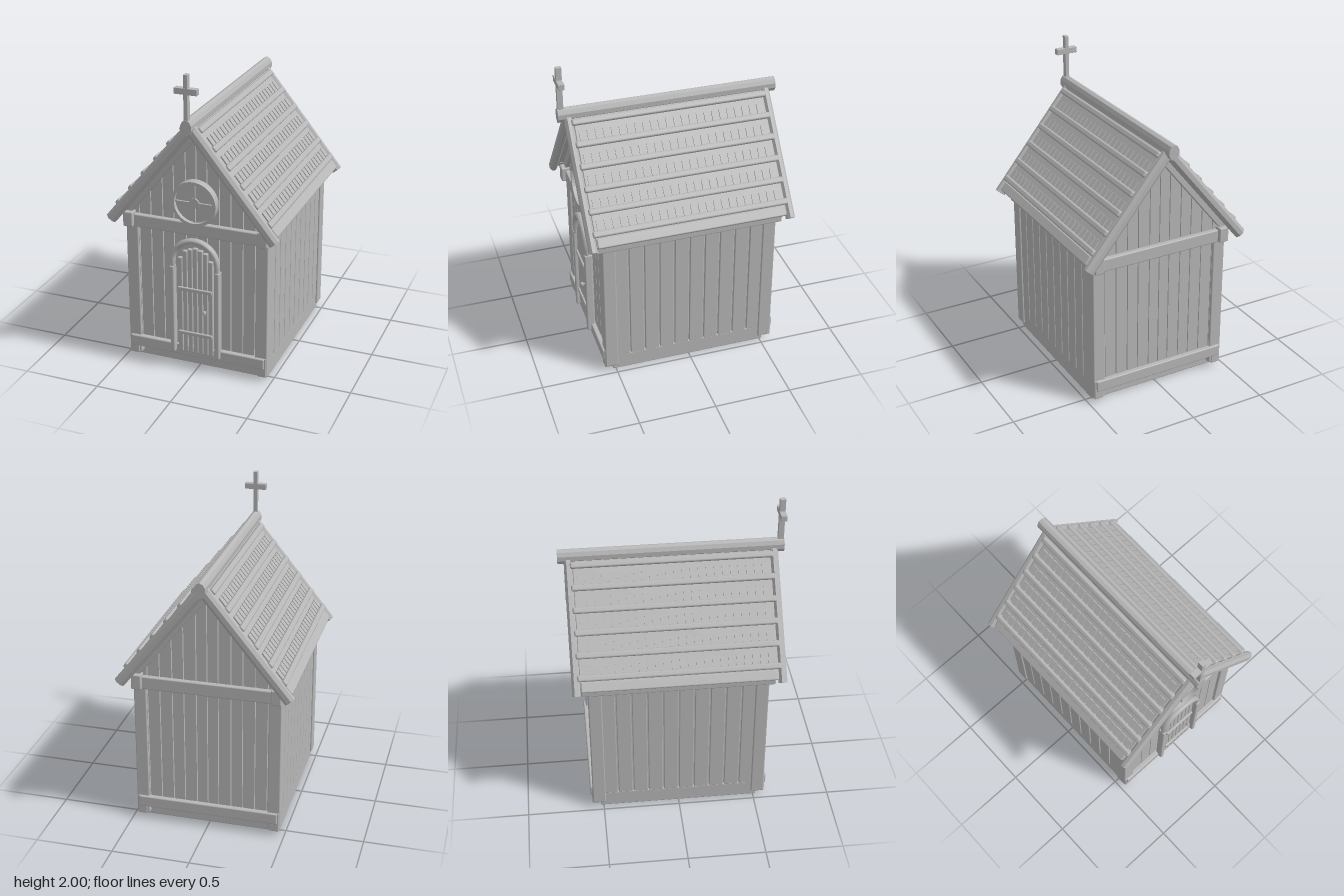
import * as THREE from 'three';
import { RoundedBoxGeometry } from 'three/addons/geometries/RoundedBoxGeometry.js';

const grey = new THREE.MeshStandardMaterial({ color: 0xb6b6b6 });
grey.name = 'plainGrey';

function add(parent, name, geometry, x = 0, y = 0, z = 0) {
  const mesh = new THREE.Mesh(geometry, grey);
  mesh.name = name;
  mesh.position.set(x, y, z);
  parent.add(mesh);
  return mesh;
}

// Beam with softened edges, given by its extents
function beam(parent, name, x0, x1, y0, y1, z0, z1, r = 0.008) {
  const w = x1 - x0, h = y1 - y0, d = z1 - z0;
  const radius = Math.min(r, w * 0.4, h * 0.4, d * 0.4);
  return add(parent, name, new RoundedBoxGeometry(w, h, d, 2, radius), (x0 + x1) / 2, (y0 + y1) / 2, (z0 + z1) / 2);
}

function extrude(points, depth) {
  const shape = new THREE.Shape(points.map(([x, y]) => new THREE.Vector2(x, y)));
  return new THREE.ExtrudeGeometry(shape, { depth, bevelEnabled: false });
}

const ANGLE = Math.atan2(0.66, 0.535);   // roof pitch
const gableY = (x) => 1.625 - 1.234 * Math.abs(x);

function buildWalls(group) {
  beam(group, 'foundation', -0.46, 0.46, 0, 0.11, -0.52, 0.52);

  // Solid core seen in the gaps between planks
  add(group, 'wallCore', extrude([[-0.445, 0.05], [0.445, 0.05], [0.445, gableY(0.445)], [0, gableY(0)], [-0.445, gableY(0.445)]], 1.07), 0, 0, -0.535);

  // Gable wall planks, cut to the roof slope
  const edges = [0, 0.07, 0.15, 0.225, 0.305, 0.385, 0.455];
  for (const face of [1, -1]) for (const s of [1, -1]) {
    for (let i = 0; i < edges.length - 1; i++) {
      const a = edges[i] + 0.003, b = edges[i + 1] - 0.003;
      const pts = [[a, 0.08], [b, 0.08], [b, gableY(b)], [a, gableY(a)]].map(([x, y]) => [s * x, y]);
      add(group, 'gablePlank', extrude(pts, 0.02), 0, 0, face > 0 ? 0.535 : -0.555);
    }
  }

  // Side wall planks
  for (const s of [1, -1]) for (let i = 0; i < 10; i++) {
    const z = -0.45 + i * 0.1;
    const x0 = s > 0 ? 0.435 : -0.461;
    beam(group, 'sidePlank', x0, x0 + 0.026, 0.105, 0.96, z - 0.046, z + 0.046, 0.005);
  }

  for (const s of [1, -1]) {
    const x0 = s > 0 ? 0.41 : -0.475;
    beam(group, 'wallPlate', x0, x0 + 0.065, 0.94, 1.04, -0.61, 0.61);
    for (const f of [1, -1]) {
      const px = s > 0 ? 0.39 : -0.472, pz = f > 0 ? 0.485 : -0.57;
      beam(group, 'cornerPost', px, px + 0.082, 0.035, 0.96, pz, pz + 0.085);
      const bz = f > 0 ? 0.52 : -0.575;
      beam(group, 'sillEnd', s > 0 ? 0.405 : -0.468, s > 0 ? 0.468 : -0.405, 0.03, 0.165, bz, bz + 0.055);
    }
  }
  for (const f of [1, -1]) {
    const z0 = f > 0 ? 0.54 : -0.585;
    beam(group, 'lowerCrossBeam', -0.455, 0.455, 0.088, 0.163, z0, z0 + 0.045);
    beam(group, 'upperCrossBeam', -0.415, 0.415, 0.937, 1.022, z0, z0 + 0.045);
  }
}

// One roof slope; local x runs down the slope, local y points outward
function buildSlope(group, side) {
  const turn = new THREE.Group();
  turn.rotation.y = side > 0 ? 0 : Math.PI;
  const slope = new THREE.Group();
  slope.name = side > 0 ? 'leftRoof' : 'rightRoof';
  slope.position.y = 1.717;
  slope.rotation.z = -ANGLE;
  turn.add(slope);
  group.add(turn);

  beam(slope, 'roofPanel', 0.03, 0.87, -0.05, -0.012, -0.615, 0.615, 0.006);
  beam(slope, 'eaveBoard', 0.81, 0.875, -0.055, -0.004, -0.61, 0.61);

  // Battens with a band of little shingles above each
  for (let i = 0; i < 6; i++) {
    const u = 0.092 + i * 0.139;
    beam(slope, 'batten', u - 0.02, u + 0.02, -0.032, 0.014, -0.63, 0.63, 0.012);
    if (i === 0) continue;
    for (let k = 0; k < 24; k++) {
      add(slope, 'shingle', new THREE.BoxGeometry(0.062, 0.014, 0.04), u - 0.05, -0.01, -0.575 + k * 0.05);
    }
  }

  // Edge poles and the rafters behind them
  for (const f of [1, -1]) {
    const pole = new THREE.CylinderGeometry(0.0375, 0.0375, 0.875, 8).toNonIndexed();
    pole.rotateY(Math.PI / 8);
    pole.computeVertexNormals();
    pole.rotateZ(Math.PI / 2);
    pole.scale(1, 1, 0.75);
    add(slope, 'edgePole', pole, 0.4575, -0.036, f * 0.64);
    const z0 = f > 0 ? 0.54 : -0.58;
    beam(slope, 'rafter', 0.07, 0.82, -0.1, -0.045, z0, z0 + 0.04, 0.005);
  }
}

function buildRidge(group) {
  const ridge = new THREE.CylinderGeometry(0.05, 0.05, 1.41, 10).toNonIndexed();
  ridge.computeVertexNormals();
  ridge.rotateX(Math.PI / 2);
  ridge.scale(0.72, 0.98, 1);
  add(group, 'ridgePole', ridge, 0, 1.677, 0);
  beam(group, 'crossUpright', -0.013, 0.013, 1.7, 2, 0.665, 0.702, 0.002);
  beam(group, 'crossArm', -0.072, 0.072, 1.88, 1.918, 0.665, 0.703, 0.002);
}

function buildDoor(group) {
  const door = new THREE.Group();
  door.name = 'door';
  group.add(door);

  // Arched backing board
  const back = new THREE.Shape();
  back.moveTo(-0.145, 0.115);
  back.lineTo(0.145, 0.115);
  back.lineTo(0.145, 0.755);
  back.absarc(0, 0.755, 0.145, 0, Math.PI, false);
  add(door, 'doorBacking', new THREE.ExtrudeGeometry(back, { depth: 0.025, bevelEnabled: false, curveSegments: 16 }), 0, 0, 0.545);

  const tops = [0.855, 0.845, 0.83, 0.78];
  for (let i = -3; i <= 3; i++) {
    const x = i * 0.034;
    beam(door, 'doorPlank', x - 0.0155, x + 0.0155, 0.12, tops[Math.abs(i)], 0.56, 0.592, 0.005);
  }
  for (const y of [0.26, 0.57]) beam(door, 'doorStrap', -0.115, 0.115, y - 0.012, y + 0.012, 0.58, 0.604, 0.005);

  // Frame: two jambs and a rounded arch
  for (const s of [-1, 1]) beam(door, 'doorJamb', s * 0.151 - 0.016, s * 0.151 + 0.016, 0.113, 0.72, 0.56, 0.612, 0.009);
  const arch = new THREE.TorusGeometry(0.148, 0.018, 8, 24, Math.PI);
  arch.scale(1, 1, 1.3);
  add(door, 'doorArch', arch, 0, 0.757, 0.588);
  for (const s of [-1, 1]) add(door, 'archFoot', new THREE.CylinderGeometry(0.018, 0.018, 0.06, 8), s * 0.148, 0.73, 0.59);

  const knob = new THREE.SphereGeometry(0.012, 10, 8);
  knob.scale(1, 1.5, 1);
  add(door, 'doorKnob', knob, 0.071, 0.432, 0.615);
  add(door, 'knobStem', new THREE.CylinderGeometry(0.005, 0.005, 0.03, 8).rotateX(Math.PI / 2), 0.071, 0.432, 0.6);
}

function buildWindow(group) {
  const win = new THREE.Group();
  win.name = 'roundWindow';
  win.position.set(0, 1.157, 0.55);
  group.add(win);
  const ring = (r, hole, depth) => {
    const shape = new THREE.Shape().absarc(0, 0, r, 0, Math.PI * 2, false);
    if (hole) shape.holes.push(new THREE.Path().absarc(0, 0, hole, 0, Math.PI * 2, true));
    return new THREE.ExtrudeGeometry(shape, { depth, bevelEnabled: false, curveSegments: 32 });
  };
  add(win, 'windowFrame', ring(0.146, 0.126, 0.058));
  add(win, 'windowPane', ring(0.128, 0, 0.03));
  add(win, 'windowHub', ring(0.032, 0, 0.042));
  beam(win, 'windowBar', -0.127, 0.127, -0.006, 0.006, 0.02, 0.04, 0.002);
  beam(win, 'windowBar', -0.006, 0.006, -0.127, 0.127, 0.02, 0.04, 0.002);
}

export function createModel() {
  const group = new THREE.Group();
  group.name = 'chapel';
  buildWalls(group);
  for (const side of [1, -1]) buildSlope(group, side);
  buildRidge(group);
  buildDoor(group);
  buildWindow(group);
  return group;
}
